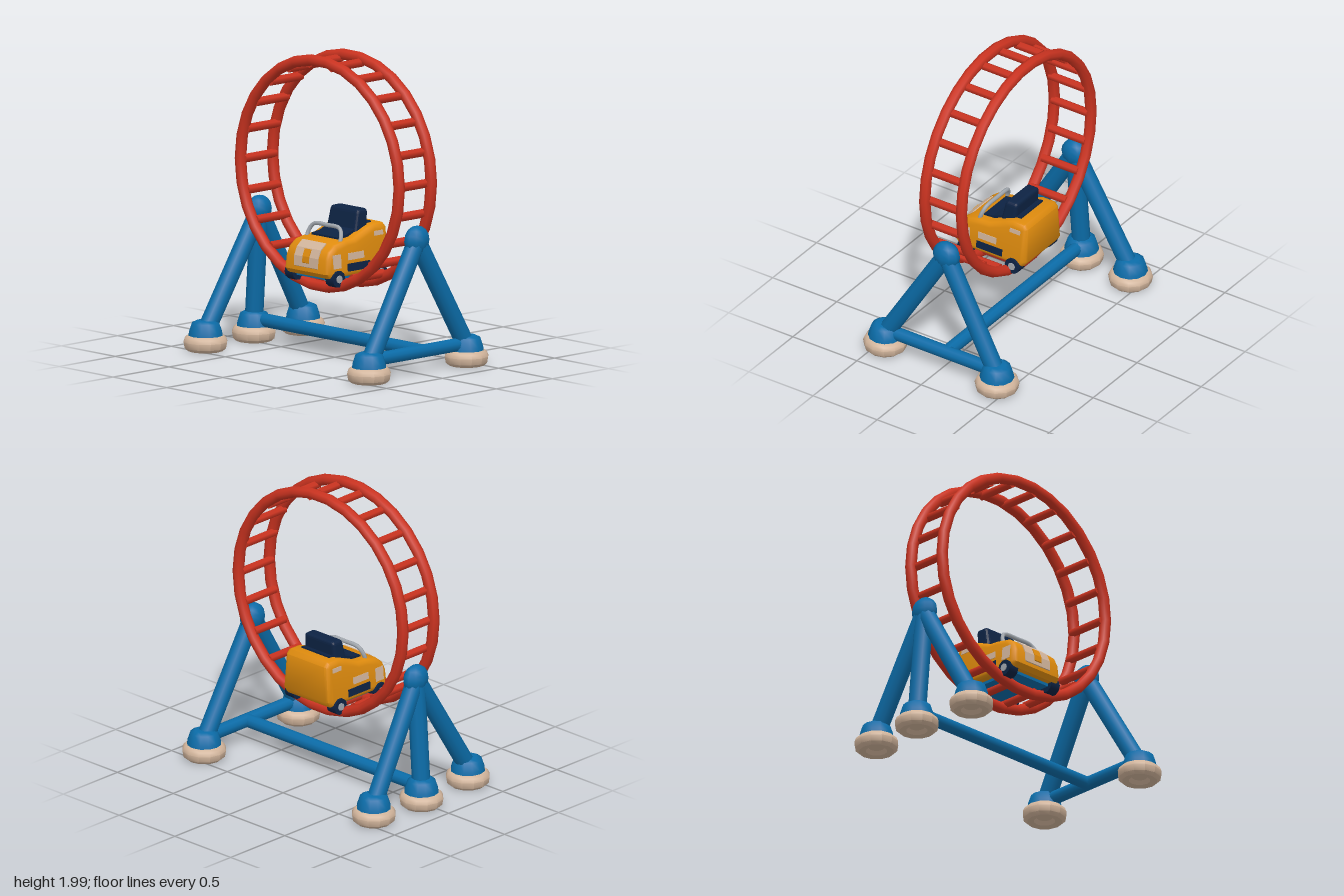
import * as THREE from 'three';
import { toCreasedNormals } from 'three/addons/utils/BufferGeometryUtils.js';
import { RoundedBoxGeometry } from 'three/addons/geometries/RoundedBoxGeometry.js';

const mat = (name, color) => Object.assign(new THREE.MeshStandardMaterial({ color }), { name });

export function createModel() {
  const red = mat('red', 0xcb3320), blue = mat('blue', 0x0b6ca8), cream = mat('cream', 0xd2b59c);
  const orange = mat('orange', 0xe08c0e), navy = mat('navy', 0x0d2344), silver = mat('silver', 0xa3a9b0);
  const model = new THREE.Group();
  model.name = 'loopRide';

  const add = (parent, name, geo, material, x = 0, y = 0, z = 0) => {
    const m = new THREE.Mesh(geo, material);
    m.name = name;
    m.position.set(x, y, z);
    parent.add(m);
    return m;
  };
  // Round bar between two points
  const bar = (parent, name, a, b, r0, r1, material, sides = 10) => {
    const p = new THREE.Vector3(...a), q = new THREE.Vector3(...b);
    const d = q.clone().sub(p);
    const m = add(parent, name, new THREE.CylinderGeometry(r1, r0, d.length(), sides), material);
    m.position.copy(p).add(q).multiplyScalar(0.5);
    m.quaternion.setFromUnitVectors(new THREE.Vector3(0, 1, 0), d.normalize());
    return m;
  };

  // Loop track: two hoops joined by rungs
  const track = new THREE.Group();
  track.name = 'loopTrack';
  track.position.set(0.01, 1.224, 0);
  model.add(track);
  for (const z of [-0.142, 0.144])
    add(track, 'hoop', new THREE.TorusGeometry(0.738, 0.037, 8, 30), red, 0, 0, z);
  const rungs = 22;
  for (let i = 0; i < rungs; i++) {
    const a = ((i + 0.5) / rungs) * Math.PI * 2;
    const x = Math.sin(a) * 0.713, y = Math.cos(a) * 0.713;
    bar(track, 'rung', [x, y, -0.14], [x, y, 0.14], 0.029, 0.029, red, 6);
  }

  // Supports: leg, collar and padded foot for each base position
  const supports = new THREE.Group();
  supports.name = 'supports';
  model.add(supports);
  const footProfile = [[0, 0.035], [0.05, 0.03], [0.07, 0.006], [0.115, 0], [0.138, 0.02],
    [0.145, 0.06], [0.135, 0.085], [0.115, 0.1], [0, 0.1]].map(p => new THREE.Vector2(...p));
  const footGeo = toCreasedNormals(new THREE.LatheGeometry(footProfile, 12), 0.7);
  const collarProfile = [[0.115, 0.085], [0.11, 0.12], [0.09, 0.18], [0.06, 0.195], [0, 0.195]]
    .map(p => new THREE.Vector2(...p));
  const collarGeo = new THREE.LatheGeometry(collarProfile, 12);
  const leg = (x, z, top) => {
    add(supports, 'foot', footGeo, cream, x, 0, z);
    add(supports, 'collar', collarGeo, blue, x, 0, z);
    bar(supports, 'leg', [x, 0.12, z], top, 0.06, 0.06, blue);
  };
  const apexes = [[-0.725, 0.865, -0.02], [0.74, 0.865, -0.02]];
  for (const top of apexes) {
    const cap = add(supports, 'legJoint', new THREE.SphereGeometry(0.097, 10, 8), blue, ...top);
    cap.scale.x = 0.72;
    const x = top[0] < 0 ? -0.75 : 0.77;
    for (const z of [-0.435, 0.435]) leg(x, z, top);
  }
  leg(-0.785, -0.03, apexes[0]);
  bar(supports, 'crossBeam', [-0.78, 0.142, -0.04], [0.77, 0.142, -0.04], 0.044, 0.044, blue);
  bar(supports, 'sideBeam', [0.77, 0.142, -0.43], [0.77, 0.142, 0.43], 0.044, 0.044, blue);

  // Car
  const car = new THREE.Group();
  car.name = 'car';
  car.position.x = 0.012;
  model.add(car);

  // Side profile (z, y) extruded across the car
  const across = (pts, width, bevel = 0) => {
    const g = new THREE.ExtrudeGeometry(new THREE.Shape(pts.map(p => new THREE.Vector2(...p))), {
      depth: width - 2 * bevel, bevelEnabled: bevel > 0, bevelSize: bevel, bevelThickness: bevel,
      bevelOffset: -bevel, bevelSegments: 3, steps: 1 });
    return g.translate(0, 0, -(width - 2 * bevel) / 2).rotateY(-Math.PI / 2);
  };
  // Sides lean inwards towards the top
  const taper = g => {
    const p = g.attributes.position;
    for (let i = 0; i < p.count; i++) p.setX(i, p.getX(i) * (1 - 0.4 * (p.getY(i) - 0.6)));
    g.computeVertexNormals();
    return toCreasedNormals(g, 0.7);
  };
  const bodyProfile = [[-0.25, 0.57], [0.245, 0.57], [0.27, 0.6], [0.264, 0.69], [0.24, 0.745], [0.19, 0.785],
    [0.09, 0.805], [0.02, 0.81], [-0.1, 0.86], [-0.16, 0.88], [-0.25, 0.88], [-0.275, 0.85], [-0.278, 0.61]];
  add(car, 'body', taper(across(bodyProfile, 0.425, 0.035)), orange);
  add(car, 'underside', new THREE.BoxGeometry(0.32, 0.05, 0.42), blue, 0, 0.575, 0);

  // Thin plates wrapped over the nose
  const wrap = (pts, o, t) => [...pts.map(([z, y]) => [z + o + t, y + (o + t) * 0.8]),
    ...pts.map(([z, y]) => [z + o, y + o * 0.8]).reverse()];
  const nose = [[0.268, 0.625], [0.264, 0.69], [0.24, 0.745], [0.19, 0.785]];
  add(car, 'hoodPanel', across(wrap(nose, -0.002, 0.007), 0.22), cream);
  add(car, 'hoodSpot', across(wrap([[0.267, 0.65], [0.264, 0.69], [0.243, 0.738]], 0.004, 0.005), 0.06), orange);

  // Side markings, wheels and trim, mirrored
  for (const s of [-1, 1]) {
    const plate = (name, material, h, l, y, z) =>
      add(car, name, taper(new THREE.BoxGeometry(0.008, h, l).translate(s * 0.2125, y, z)), material);
    plate('frontSidePatch', cream, 0.09, 0.07, 0.68, 0.19);
    plate('sideStripe', cream, 0.045, 0.14, 0.7, 0.02);
    plate('sideSkirt', navy, 0.05, 0.2, 0.63, 0);
    plate('rearSidePatch', cream, 0.03, 0.08, 0.82, -0.19);
    for (const z of [-0.185, 0.19]) {
      const wheel = add(car, 'wheel', new THREE.CylinderGeometry(0.055, 0.055, 0.075, 10), navy, s * 0.188, 0.568, z);
      wheel.rotation.z = Math.PI / 2;
      const hub = add(car, 'hub', new THREE.CylinderGeometry(0.026, 0.026, 0.008, 8), silver, s * 0.228, 0.568, z);
      hub.rotation.z = Math.PI / 2;
    }
  }

  // Cockpit and seat back
  add(car, 'cockpit', across([[-0.19, 0.84], [0.1, 0.77], [0.1, 0.815], [0.03, 0.825], [-0.1, 0.875], [-0.19, 0.89]], 0.25), navy);
  const seat = new RoundedBoxGeometry(0.285, 0.2, 0.12, 2, 0.025);
  const sp = seat.attributes.position;
  for (let i = 0; i < sp.count; i++) {
    const k = sp.getY(i) / 0.2 + 0.5;
    sp.setX(i, sp.getX(i) * (1 - 0.08 * k));
    sp.setZ(i, sp.getZ(i) * (1 - 0.25 * k) - 0.03 * k);
  }
  seat.computeVertexNormals();
  add(car, 'seatBack', seat, navy, 0, 0.877, -0.085);

  // Windscreen frame
  const frame = new THREE.CatmullRomCurve3([[-0.155, 0.77, 0.12], [-0.15, 0.83, 0.1], [-0.12, 0.873, 0.085],
    [0, 0.88, 0.083], [0.12, 0.873, 0.085], [0.15, 0.83, 0.1], [0.155, 0.77, 0.12]].map(p => new THREE.Vector3(...p)));
  add(car, 'windscreenFrame', new THREE.TubeGeometry(frame, 28, 0.014, 6), silver);

  return model;
}
